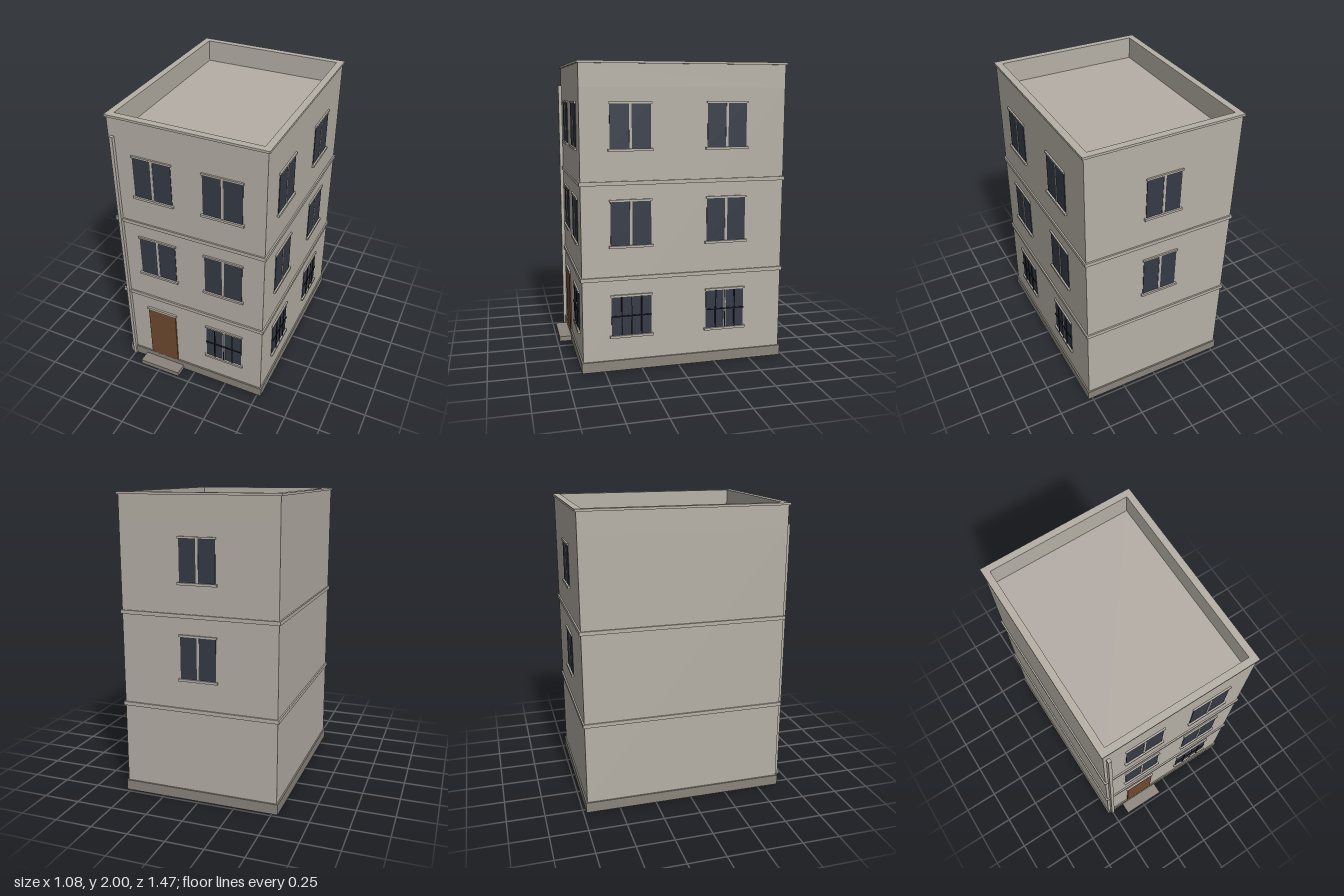
import * as THREE from 'three';

const mat = (name, color) => {
  const m = new THREE.MeshStandardMaterial({ color });
  m.name = name;
  return m;
};

// Outer wall planes
const X0 = -0.53, X1 = 0.52, Z0 = -0.72, Z1 = 0.64;
const ROOF = 1.85;

export function createModel() {
  const wall = mat('plaster', 0xb6b0a6);
  const stone = mat('plinthStone', 0x8a847b);
  const roofing = mat('roofing', 0xb5aea7);
  const glass = mat('glass', 0x343a46);
  const wood = mat('doorWood', 0x704a2f);
  const iron = mat('iron', 0x1a1c20);

  const model = new THREE.Group();
  model.name = 'building';

  // Box from its minimum and maximum corners
  const box = (parent, name, m, x0, x1, y0, y1, z0, z1) => {
    const mesh = new THREE.Mesh(new THREE.BoxGeometry(x1 - x0, y1 - y0, z1 - z0), m);
    mesh.position.set((x0 + x1) / 2, (y0 + y1) / 2, (z0 + z1) / 2);
    mesh.name = name;
    parent.add(mesh);
    return mesh;
  };

  // Rectangular ring around the walls: grows outward by out, reaches inward by inn
  const ring = (name, y0, y1, out, inn) => {
    const rect = (path, d) => path
      .moveTo(X0 - d, -Z1 - d).lineTo(X1 + d, -Z1 - d)
      .lineTo(X1 + d, -Z0 + d).lineTo(X0 - d, -Z0 + d).closePath();
    const shape = rect(new THREE.Shape(), out);
    shape.holes.push(rect(new THREE.Path(), -inn));
    const geo = new THREE.ExtrudeGeometry(shape, { depth: y1 - y0, bevelEnabled: false });
    geo.rotateX(-Math.PI / 2);
    const mesh = new THREE.Mesh(geo, wall);
    mesh.position.y = y0;
    mesh.name = name;
    model.add(mesh);
  };

  // Main volume, parapet and trims
  box(model, 'plinth', stone, X0 - 0.01, X1 + 0.01, 0, 0.07, Z0 - 0.01, Z1 + 0.01);
  box(model, 'walls', wall, X0, X1, 0.07, ROOF - 0.01, Z0, Z1);
  box(model, 'roof', roofing, X0 + 0.03, X1 - 0.03, ROOF - 0.01, ROOF, Z0 + 0.03, Z1 - 0.03);
  ring('parapet', ROOF - 0.01, 1.985, 0, 0.036);
  ring('coping', 1.985, 2, 0.01, 0.036);
  ring('lowerFloorBand', 0.61, 0.635, 0.01, 0.01);
  ring('upperFloorBand', 1.23, 1.255, 0.01, 0.01);

  // Window in its own frame: z = 0 is the wall plane, +z is outward
  const makeWindow = (name, width, height, { barred = false, mullion = true } = {}) => {
    const g = new THREE.Group();
    g.name = name;
    const w = width / 2;
    box(g, 'pane', glass, -w, w, 0, height, -0.005, 0.004);
    if (mullion) box(g, 'mullion', wall, -0.008, 0.008, 0, height, -0.005, 0.007);
    box(g, 'sill', wall, -w - 0.012, w + 0.012, -0.016, 0, -0.005, 0.016);
    box(g, 'lintel', wall, -w - 0.007, w + 0.007, height, height + 0.013, -0.005, 0.011);
    if (barred) {
      for (const x of [-w / 2, 0, w / 2]) {
        const t = x === 0 ? 0.002 : 0.004;
        box(g, 'grilleBar', iron, x - t, x + t, 0, height, 0.008, 0.013);
      }
      box(g, 'grilleRail', iron, -w, w, height / 2 - 0.004, height / 2 + 0.004, 0.008, 0.013);
    }
    model.add(g);
    return g;
  };

  // Rows of windows on the front, right-hand street side and back
  const rows = [[0.24, 0.26], [0.84, 0.285], [1.46, 0.28]];
  rows.forEach(([y, h], floor) => {
    const barred = floor === 0;
    for (const x of [-0.24, 0.238]) {
      if (barred && x < 0) continue;
      makeWindow('frontWindow', 0.265, h, { barred }).position.set(x, y, Z1);
    }
    for (const z of [0.318, -0.322]) {
      const win = makeWindow('sideWindow', 0.265, h, { barred, mullion: !(barred && z > 0) });
      win.position.set(X1, y, z);
      win.rotation.y = Math.PI / 2;
    }
    if (!barred) {
      const win = makeWindow('backWindow', 0.24, h - 0.01, {});
      win.position.set(-0.005, y - 0.005, Z0);
      win.rotation.y = Math.PI;
    }
  });

  // Entrance
  box(model, 'door', wood, -0.35, -0.135, 0.07, 0.5, Z1 - 0.005, Z1 + 0.009);
  box(model, 'doorLintel', wall, -0.36, -0.128, 0.5, 0.515, Z1 - 0.005, Z1 + 0.013);
  box(model, 'doorStep', stone, -0.4, -0.09, 0, 0.035, Z1, 0.735);

  // Rainwater pipe at the front corner
  box(model, 'downpipe', wall, -0.51, -0.487, 0, 1.86, Z1, Z1 + 0.024);

  return model;
}
